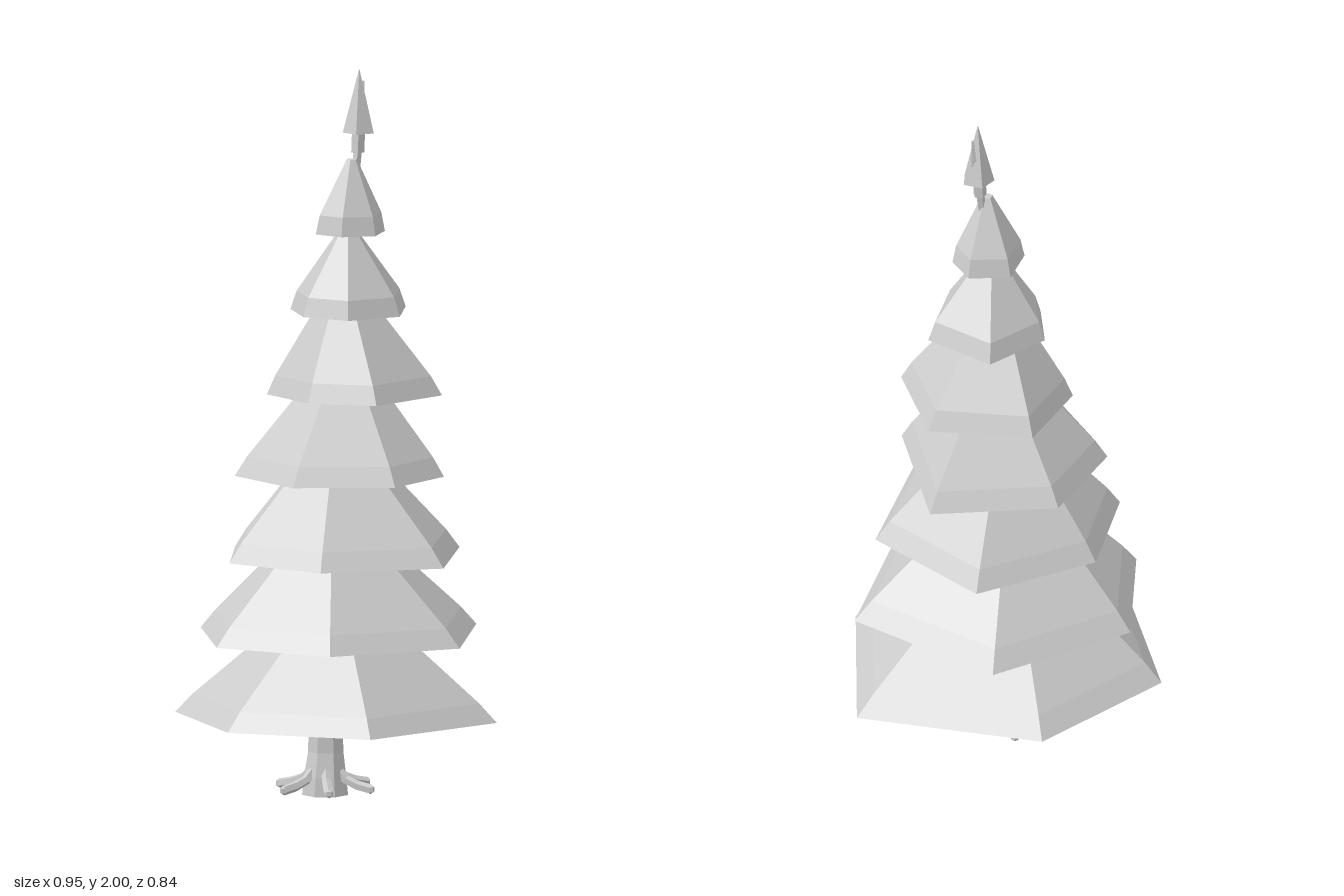
import * as THREE from 'three';

const grey = new THREE.MeshStandardMaterial({ color: 0xcccccc, flatShading: true });
grey.name = 'light grey';

// Closed faceted solid through rings of [x, y, z] points, from bottom to top
function loft(name, rings) {
  const n = rings[0].length, pos = [];
  const tri = (...points) => points.forEach((p) => pos.push(...p));
  for (let r = 0; r < rings.length - 1; r++) {
    const lo = rings[r], hi = rings[r + 1];
    for (let i = 0; i < n; i++) {
      const j = (i + 1) % n;
      tri(lo[j], lo[i], hi[i]);
      tri(lo[j], hi[i], hi[j]);
    }
  }
  const bottom = rings[0], top = rings[rings.length - 1];
  for (let i = 1; i < n - 1; i++) {
    tri(bottom[0], bottom[i], bottom[i + 1]);
    tri(top[0], top[i + 1], top[i]);
  }
  const geometry = new THREE.BufferGeometry();
  geometry.setAttribute('position', new THREE.Float32BufferAttribute(pos, 3));
  geometry.computeVertexNormals();
  const mesh = new THREE.Mesh(geometry, grey);
  mesh.name = name;
  return mesh;
}

// Regular horizontal ring
const ring = (x, y, z, radius, sides, turn = 0) =>
  Array.from({ length: sides }, (_, i) => {
    const a = turn + (i / sides) * Math.PI * 2;
    return [x + Math.cos(a) * radius, y, z + Math.sin(a) * radius];
  });

// Branch tiers: hem height, top height, top centre, top scale, hem corners [x, z]
const tiers = [
  { y: 0.215, top: 0.45, c: [-0.075, 0], s: 0.43,
    hem: [[-0.247, -0.422], [0.2, -0.4], [0.47, 0.05], [0.098, 0.42], [-0.354, 0.313], [-0.476, -0.082]] },
  { y: 0.435, top: 0.675, c: [-0.06, -0.02], s: 0.42,
    hem: [[-0.125, -0.422], [0.298, -0.306], [0.365, 0.162], [-0.03, 0.385], [-0.36, 0.18], [-0.405, -0.17]] },
  { y: 0.66, top: 0.9, c: [-0.04, -0.02], s: 0.4,
    hem: [[-0.062, -0.35], [0.285, -0.23], [0.28, 0.165], [-0.065, 0.355], [-0.333, 0.13], [-0.33, -0.18]] },
  { y: 0.885, top: 1.12, c: [-0.01, -0.025], s: 0.4,
    hem: [[-0.22, -0.24], [0.065, -0.33], [0.335, -0.1], [0.1, 0.24], [-0.14, 0.245], [-0.31, 0.02]] },
  { y: 1.105, top: 1.345, c: [0, -0.025], s: 0.36,
    hem: [[-0.13, -0.195], [0.105, -0.27], [0.28, -0.04], [0.133, 0.21], [-0.13, 0.175], [-0.2, -0.005]] },
  { y: 1.33, top: 1.56, c: [0.015, -0.025], s: 0.15,
    hem: [[-0.025, -0.19], [0.17, -0.17], [0.2, 0.04], [0.035, 0.137], [-0.11, 0.065], [-0.125, -0.075]] },
  { y: 1.55, top: 1.755, c: [0.035, -0.025], s: 0.15,
    hem: [[0.06, -0.14], [0.143, -0.06], [0.115, 0.03], [0.02, 0.065], [-0.05, 0], [-0.05, -0.087]] },
];

function branchTier({ y, top, c, s, hem }, index) {
  const mean = [0, 1].map((k) => hem.reduce((sum, p) => sum + p[k], 0) / hem.length);
  // t = 0 at the hem centre, 1 at the top centre
  const level = (height, scale, t) => hem.map((p) => {
    const [x, z] = [0, 1].map((k) => mean[k] + (c[k] - mean[k]) * t + (p[k] - mean[k]) * scale);
    return [x, height, z];
  });
  return loft('branchTier' + (index + 1),
    [level(y, 1, 0), level(y + 0.053, 0.89, 0.18), level(top, s, 1)]);
}

export function createModel() {
  const tree = new THREE.Group();
  tree.name = 'pineTree';

  // Leaning trunk with a flared foot
  const trunk = [
    [-0.088, 0, 0.065], [-0.088, 0.05, 0.06], [-0.085, 0.12, 0.05], [-0.085, 0.25, 0.047],
    [-0.05, 0.7, 0.04], [0, 1.3, 0.025], [0.045, 1.68, 0.015],
  ];
  tree.add(loft('trunk', trunk.map(([x, y, r]) => ring(x, y, -0.028, r, 7, 0.3))));

  // Roots spreading over the ground
  for (let i = 0; i < 6; i++) {
    const a = 0.35 + (i / 6) * Math.PI * 2;
    const at = (d, y) => new THREE.Vector3(-0.088 + Math.cos(a) * d, y, -0.028 + Math.sin(a) * d);
    const path = new THREE.CatmullRomCurve3([at(0.035, 0.075), at(0.07, 0.04), at(0.14, 0.022)]);
    const root = new THREE.Mesh(new THREE.TubeGeometry(path, 3, 0.014, 5), grey);
    root.name = 'root' + (i + 1);
    tree.add(root);
    const end = new THREE.Mesh(new THREE.SphereGeometry(0.013, 5, 3), grey);
    end.name = 'rootEnd' + (i + 1);
    end.position.copy(at(0.138, 0.022));
    tree.add(end);
  }

  tiers.forEach((tier, i) => tree.add(branchTier(tier, i)));

  // Thin stem carrying the tip
  tree.add(loft('stem', [
    ring(0.045, 1.66, -0.025, 0.012, 5), ring(0.062, 1.77, -0.025, 0.012, 5),
    ring(0.063, 1.771, -0.025, 0.019, 5), ring(0.068, 1.85, -0.025, 0.019, 5),
  ]));
  tree.add(loft('tip', [
    ring(0.073, 1.825, -0.027, 0.046, 5, 0.2), ring(0.073, 1.86, -0.027, 0.037, 5, 0.2),
    ring(0.073, 2, -0.027, 0.001, 5, 0.2),
  ]));
  // Small bud beside the tip
  tree.add(loft('bud', [
    ring(0.088, 1.87, -0.03, 0.012, 4), ring(0.097, 1.965, -0.03, 0.004, 4),
  ]));
  return tree;
}
